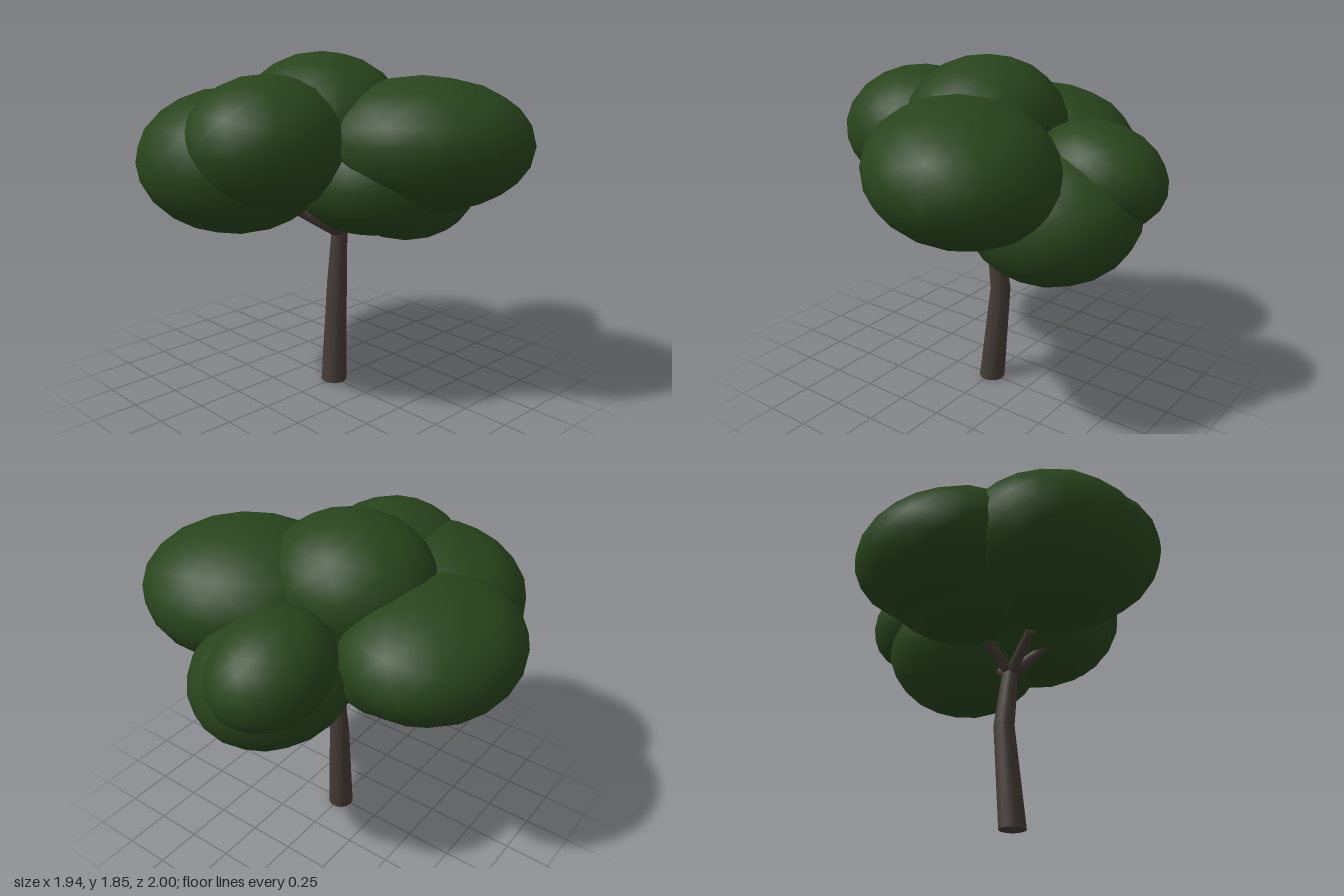
import * as THREE from 'three';

const leafMaterial = new THREE.MeshStandardMaterial({ color: 0x28441c });
leafMaterial.name = 'leaf green';
const barkMaterial = new THREE.MeshStandardMaterial({ color: 0x443b35 });
barkMaterial.name = 'bark brown';

// Foliage clumps: name, centre, radii, tilt
const CLUMPS = [
  ['frontClump', [0.175, 1.395, 0.46], [0.485, 0.348, 0.568], [-0.03, 0.55, -0.1]],
  ['frontRightClump', [-0.46, 1.415, 0.0], [0.445, 0.345, 0.415], [0, 0, 0]],
  ['crownClump', [-0.06, 1.48, -0.03], [0.43, 0.37, 0.465], [0, 0, 0]],
  ['innerClump', [-0.01, 1.22, 0.26], [0.38, 0.292, 0.42], [0, 0, 0]],
  ['lowLeftClump', [0.445, 1.145, 0.085], [0.46, 0.355, 0.43], [0.28, 0.15, -0.05]],
  ['smallLeftClump', [0.62, 1.33, -0.06], [0.355, 0.26, 0.295], [0, 0, -0.22]],
  ['backClump', [-0.025, 1.31, -0.55], [0.535, 0.315, 0.45], [-0.06, 0, 0]],
  ['lowBackClump', [-0.02, 1.215, -0.41], [0.45, 0.275, 0.41], [0, 0, 0]],
  ['backRightClump', [-0.475, 1.305, -0.25], [0.495, 0.375, 0.525], [0, 0, 0]],
];

function makeClump([name, centre, radii, tilt]) {
  const mesh = new THREE.Mesh(new THREE.IcosahedronGeometry(1, 3), leafMaterial);
  mesh.name = name;
  mesh.position.set(...centre);
  mesh.scale.set(...radii);
  mesh.rotation.set(...tilt);
  return mesh;
}

// Trunk: a cylinder whose rings follow a bent, tapering centre line
function makeTrunk() {
  const rings = [[0.003, 0, -0.006, 0.072], [0.045, 0.56, -0.027, 0.056], [0.03, 0.9, 0.01, 0.043]];
  const geometry = new THREE.CylinderGeometry(1, 1, 2, 14, 2);
  const p = geometry.attributes.position;
  for (let i = 0; i < p.count; i++) {
    const [x, y, z, r] = rings[Math.round(p.getY(i)) + 1];
    p.setXYZ(i, x + p.getX(i) * r, y, z + p.getZ(i) * r);
  }
  geometry.computeVertexNormals();
  const mesh = new THREE.Mesh(geometry, barkMaterial);
  mesh.name = 'trunk';
  return mesh;
}

// Branch: tapered cylinder between two points
function makeBranch(name, from, to) {
  const a = new THREE.Vector3(...from);
  const dir = new THREE.Vector3(...to).sub(a);
  const length = dir.length();
  const geometry = new THREE.CylinderGeometry(0.024, 0.034, length, 10);
  geometry.translate(0, length / 2, 0);
  const mesh = new THREE.Mesh(geometry, barkMaterial);
  mesh.name = name;
  mesh.position.copy(a);
  mesh.quaternion.setFromUnitVectors(new THREE.Vector3(0, 1, 0), dir.normalize());
  return mesh;
}

export function createModel() {
  const tree = new THREE.Group();
  tree.name = 'tree';
  tree.add(makeTrunk());

  const branches = new THREE.Group();
  branches.name = 'branches';
  const fork = [0.03, 0.87, 0.01];
  [[-0.2, 1.02, -0.1], [0.05, 1.06, -0.25], [0.24, 0.98, 0.06], [0.05, 1.08, 0.2], [-0.17, 1.02, 0.1]]
    .forEach((tip, i) => branches.add(makeBranch('branch' + (i + 1), fork, tip)));
  tree.add(branches);

  const foliage = new THREE.Group();
  foliage.name = 'foliage';
  CLUMPS.forEach((clump) => foliage.add(makeClump(clump)));
  tree.add(foliage);
  return tree;
}
